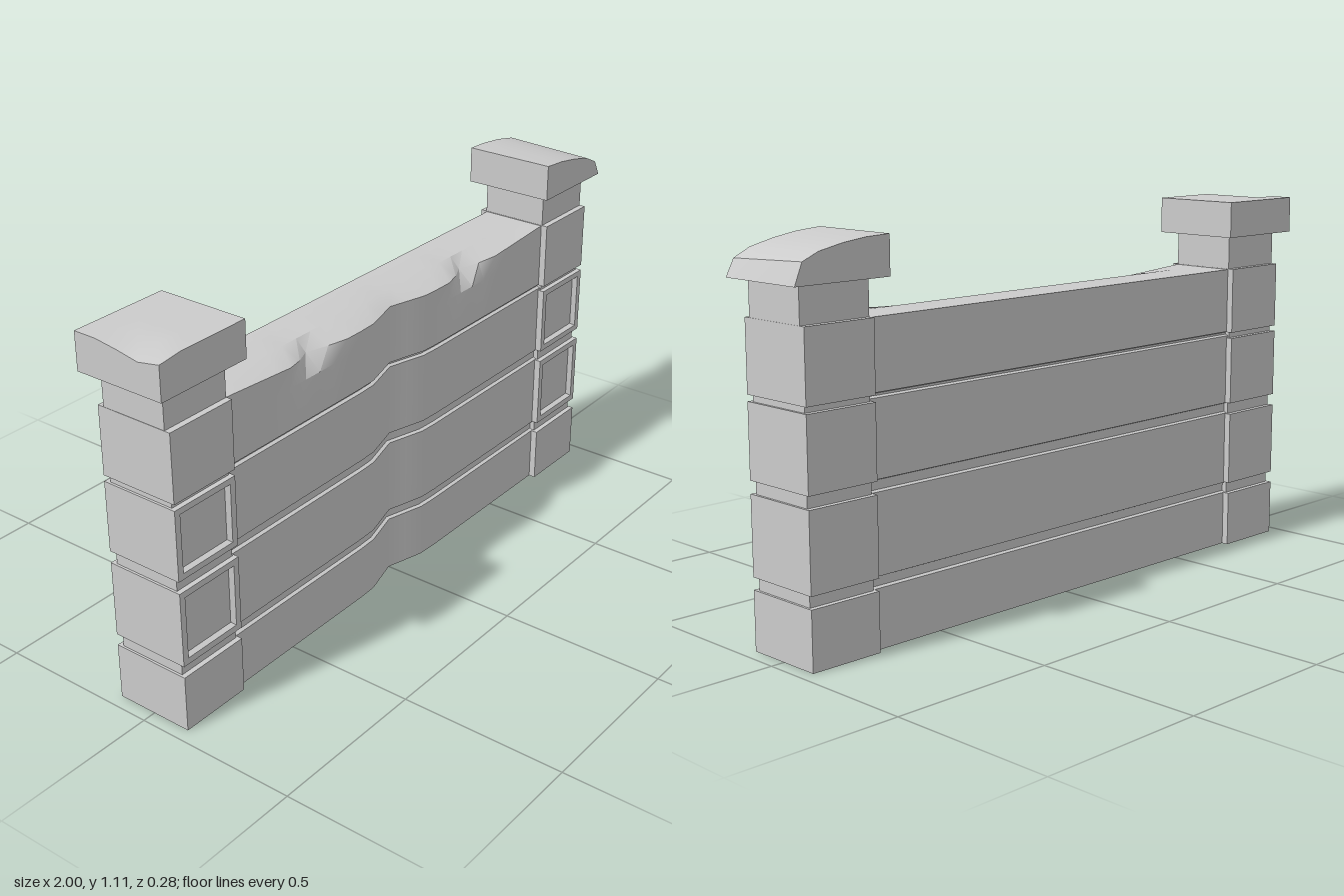
import * as THREE from 'three';
import { toCreasedNormals } from 'three/addons/utils/BufferGeometryUtils.js';

const mat = new THREE.MeshStandardMaterial({ color: 0xcccccc });
const flatMat = new THREE.MeshStandardMaterial({ color: 0xcccccc, flatShading: true });

const PILLAR_X = 0.847, PILLAR_W = 0.225, PILLAR_D = 0.245;
const GROOVES = [[0.17, 0.203], [0.432, 0.466], [0.683, 0.697]];

function add(parent, name, geometry, x = 0, y = 0, z = 0, material = mat) {
  const mesh = new THREE.Mesh(geometry, material);
  mesh.name = name;
  mesh.position.set(x, y, z);
  parent.add(mesh);
  return mesh;
}

// Apply a rule to every vertex
function warp(geometry, rule) {
  const p = geometry.attributes.position, v = new THREE.Vector3();
  for (let i = 0; i < p.count; i++) {
    rule(v.fromBufferAttribute(p, i));
    p.setXYZ(i, v.x, v.y, v.z);
  }
  return toCreasedNormals(geometry, 0.6);
}

const bump = (x, centre, width) => Math.max(0, 1 - Math.abs(x - centre) / width);

// Wall: grooved cross-section swept along x, with a dented and chipped front
function wallGeometry() {
  const half = 0.102, inset = 0.01, length = 1.56;
  const front = [[half, 0]];
  for (const [a, b] of GROOVES) {
    front.push([half, a], [half - inset, a + 0.004], [half - inset, b - 0.004], [half, b]);
  }
  const back = front.map(([z, y]) => [-z, y]).reverse();
  const outline = [...front, [half, 0.82], [half, 0.895], [0.02, 0.895], [-half, 0.895], ...back];
  // Shape x runs along -z so that the sweep runs along +x
  const shape = new THREE.Shape(outline.map(([z, y]) => new THREE.Vector2(-z, y)));
  const geometry = new THREE.ExtrudeGeometry(shape, { depth: length, steps: 26, bevelEnabled: false });
  geometry.translate(0, 0, -length / 2);
  geometry.rotateY(Math.PI / 2);
  return warp(geometry, (v) => {
    const frontTop = v.z > 0.05 && v.y > 0.88;
    if (v.z > 0.05) v.z -= 0.036 * bump(v.x, 0, 0.13);
    if (frontTop) {
      const chip = bump(v.x, -0.36, 0.1) + bump(v.x, 0.36, 0.1);
      v.y -= 0.022 * Math.min(1, 2.2 * bump(v.x, 0, 0.72)) + 0.01 * chip;
      v.z -= 0.05 * chip;
    }
  });
}

// Pillar block with a sunken square panel on its front
function panelBlockGeometry(height) {
  const r = Math.SQRT1_2, d = PILLAR_D / 2, floor = d - 0.02;
  const profile = [[0, -d], [r, -d], [r, d], [0.83 * r, d], [0.77 * r, floor], [0, floor]]
    .map(([x, y]) => new THREE.Vector2(x, y));
  const geometry = new THREE.LatheGeometry(profile, 4, Math.PI / 4);
  geometry.rotateX(Math.PI / 2);
  geometry.scale(PILLAR_W, height, 1);
  return geometry;
}

// Capstone; the broken one falls away towards its outer edge
function capGeometry(broken) {
  const w = 0.305, h = 0.11, d = 0.283;
  return warp(new THREE.BoxGeometry(w, h, d, 4, 1, 4), (v) => {
    if (v.y < 0) return;
    const u = v.x / w + 0.5;
    if (broken) {
      const frontness = v.z / d + 0.5;
      v.y -= 0.05 * u * u + 0.012 * u * frontness;
      if (u > 0.99) v.x -= 0.025;
    } else if (u < 0.01) {
      v.y -= 0.022 * bump(v.z, 0.07, 0.12);
    }
  });
}

function pillar(side) {
  const group = new THREE.Group();
  group.name = side > 0 ? 'leftPillar' : 'rightPillar';
  group.position.x = side * PILLAR_X;

  // Core seen in the grooves, and neck below the cap
  add(group, 'core', new THREE.BoxGeometry(PILLAR_W - 0.014, 0.88, 0.214), 0, 0.45, 0);
  add(group, 'neck', new THREE.BoxGeometry(PILLAR_W - 0.002, 0.14, 0.208), 0, 0.935, 0);

  // Stacked blocks, the middle two panelled
  const blocks = [[0, 0.17], [0.205, 0.431], [0.467, 0.677], [0.695, 0.897]];
  blocks.forEach(([a, b], i) => {
    const panelled = i === 1 || i === 2;
    const geometry = panelled ? panelBlockGeometry(b - a) : new THREE.BoxGeometry(PILLAR_W, b - a, PILLAR_D);
    add(group, panelled ? 'panelBlock' : 'plainBlock', geometry, 0, (a + b) / 2, 0, flatMat);
  });

  add(group, 'cap', capGeometry(side > 0), 0, 1.055, 0);
  return group;
}

export function createModel() {
  const model = new THREE.Group();
  model.name = 'stoneWall';
  add(model, 'wall', wallGeometry());
  for (const side of [-1, 1]) model.add(pillar(side));
  return model;
}
